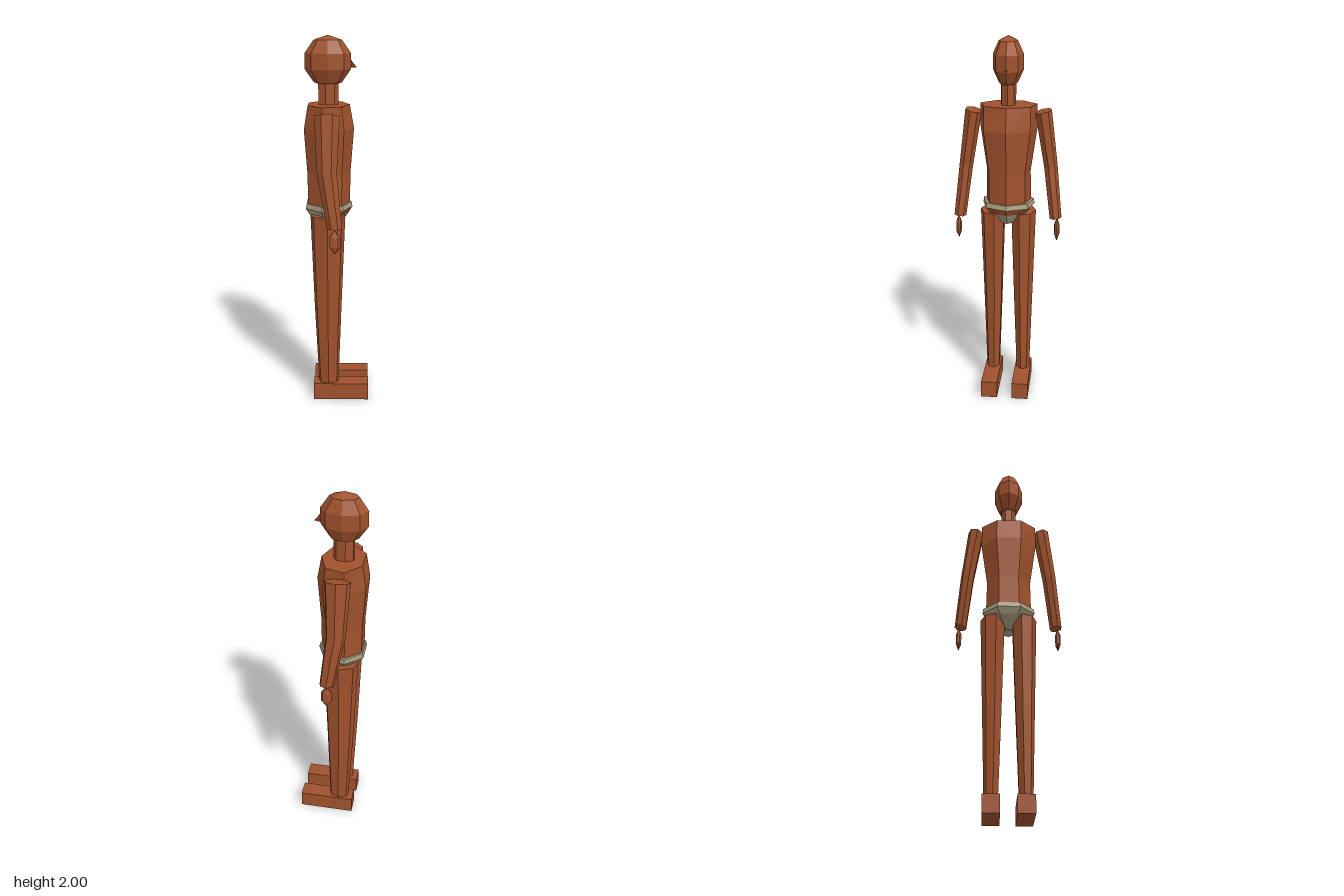
import * as THREE from 'three';

// Closed faceted loft. Rings run bottom to top: [y, cx, cz, rx, rz, tilt (dy/dz)].
// pick(row, side) gives the material index of each side face.
function loft(rings, sides, phase = 0, pick = () => 0) {
  const point = ([y, cx, cz, rx, rz, tilt = 0], i) => {
    const a = phase + ((i % sides) / sides) * Math.PI * 2;
    const dz = rz * Math.sin(a);
    return [cx + rx * Math.cos(a), y + tilt * dz, cz + dz];
  };
  const pos = [];
  const geo = new THREE.BufferGeometry();
  const add = (m, ...pts) => {
    geo.addGroup(pos.length / 3, pts.length, m);
    pts.forEach((p) => pos.push(...p));
  };
  for (let r = 0; r < rings.length - 1; r++) {
    for (let i = 0; i < sides; i++) {
      const a0 = point(rings[r], i), a1 = point(rings[r], i + 1);
      const b0 = point(rings[r + 1], i), b1 = point(rings[r + 1], i + 1);
      add(pick(r, i), a0, b0, a1, a1, b0, b1);
    }
  }
  const low = rings[0], high = rings[rings.length - 1];
  for (let i = 0; i < sides; i++) {
    add(pick(0, i), [low[1], low[0], low[2]], point(low, i), point(low, i + 1));
    add(pick(rings.length - 2, i), [high[1], high[0], high[2]], point(high, i + 1), point(high, i));
  }
  geo.setAttribute('position', new THREE.Float32BufferAttribute(pos, 3));
  geo.computeVertexNormals();
  return geo;
}

export function createModel() {
  const model = new THREE.Group();
  model.name = 'figure';
  const brown = new THREE.MeshStandardMaterial({ color: 0xa0522d, flatShading: true });
  brown.name = 'brown';
  const khaki = new THREE.MeshStandardMaterial({ color: 0xa89f80, flatShading: true });
  khaki.name = 'khaki';

  const put = (name, geo, mat = brown) => {
    const mesh = new THREE.Mesh(geo, geo.groups.length && !Array.isArray(mat) ? [mat] : mat);
    mesh.name = name;
    model.add(mesh);
    return mesh;
  };
  const X = -0.05; // body axis; the figure looks along +x

  // Head, nose and neck
  const head = put('head', new THREE.SphereGeometry(1, 8, 5));
  head.scale.set(0.126, 0.133, 0.084);
  head.position.set(X, 1.867, 0);

  const top = [0.05, 1.9, 0], tip = [0.1, 1.836, 0], l = [0.05, 1.836, 0.018], r = [0.05, 1.836, -0.018];
  const noseGeo = new THREE.BufferGeometry();
  noseGeo.setAttribute('position', new THREE.Float32BufferAttribute(
    [top, tip, l, top, r, tip, l, tip, r, top, l, r].flat(), 3));
  noseGeo.computeVertexNormals();
  put('nose', noseGeo);

  put('neck', loft([[1.63, X, 0, 0.055, 0.041], [1.77, X, 0, 0.055, 0.041]], 7));

  // Torso
  put('torso', loft([
    [1.1, X, 0, 0.118, 0.126],
    [1.28, X, 0, 0.12, 0.122],
    [1.52, X, 0, 0.138, 0.157],
    [1.645, X, 0, 0.115, 0.156],
  ], 7));

  // Waistband and briefs, with a brown front panel under the band
  put('hips', loft([
    [1.0, X + 0.02, 0, 0.05, 0.035],
    [1.06, X, 0, 0.112, 0.115],
    [1.093, X, 0, 0.132, 0.145],
    [1.12, X, 0, 0.126, 0.142],
  ], 7, 0, (row, i) => (row === 1 && (i === 0 || i === 6) ? 1 : 0)), [khaki, brown]);

  for (const s of [1, -1]) {
    const side = s > 0 ? 'left' : 'right';

    // Arm: its facets point the same way on both sides
    put(side + 'Arm', loft([
      [1.037, -0.01, s * 0.261, 0.04, 0.033, s * 0.1],
      [1.32, X, s * 0.228, 0.052, 0.037, s * 0.15],
      [1.612, X, s * 0.185, 0.067, 0.044, s * 0.22],
    ], 7, -Math.PI / 2));

    // Hand
    put(side + 'Hand', loft([
      [0.905, -0.01, s * 0.27, 0.002, 0.002],
      [0.942, -0.01, s * 0.27, 0.03, 0.015],
      [0.995, -0.01, s * 0.27, 0.03, 0.015],
      [1.03, -0.01, s * 0.27, 0.004, 0.003],
    ], 7));

    // Leg, one edge facing outward
    put(side + 'Leg', loft([
      [0.09, -0.047, s * 0.086, 0.056, 0.038],
      [0.55, X, s * 0.084, 0.076, 0.053],
      [1.062, X, s * 0.083, 0.096, 0.069],
    ], 7, s * Math.PI / 2));

    // Foot
    const foot = put(side + 'Foot', new THREE.BoxGeometry(0.305, 0.095, 0.09), brown);
    foot.material = brown;
    foot.position.set(0.0225, 0.0475, s * 0.087);
  }
  return model;
}
